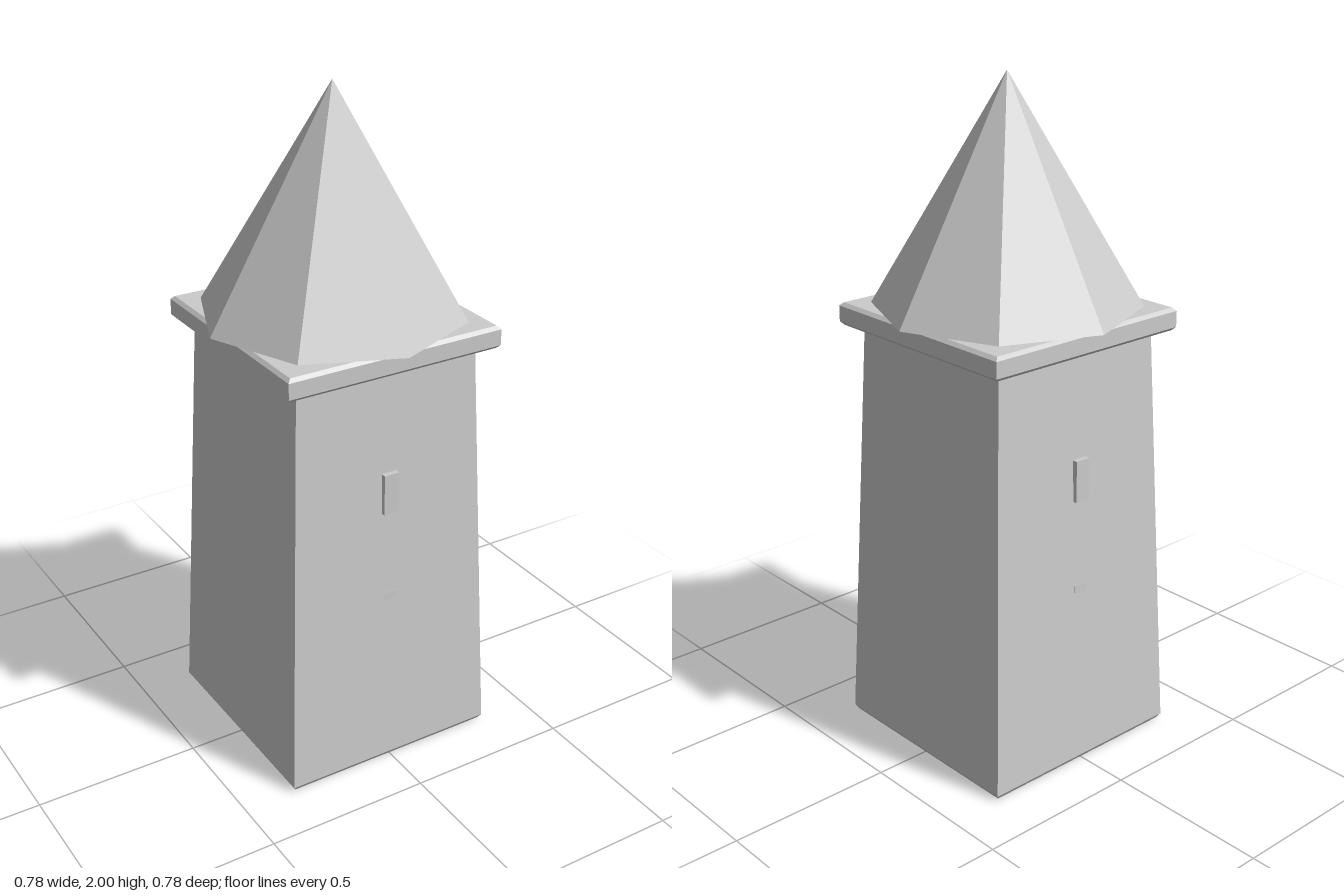
import * as THREE from 'three';

const material = new THREE.MeshStandardMaterial({ color: 0xcccccc, flatShading: true });

function addPart(group, name, geometry, y = 0, z = 0) {
  const flat = geometry.index ? geometry.toNonIndexed() : geometry;
  flat.computeVertexNormals();
  const mesh = new THREE.Mesh(flat, material);
  mesh.name = name;
  mesh.position.set(0, y, z);
  group.add(mesh);
}

// Closed square block from [half width, height] pairs, listed bottom to top
function squareBlock(profile) {
  const points = profile.map(([half, y]) => new THREE.Vector2(half * Math.SQRT2, y));
  points.unshift(new THREE.Vector2(0, profile[0][1]));
  points.push(new THREE.Vector2(0, profile[profile.length - 1][1]));
  return new THREE.LatheGeometry(points, 4, Math.PI / 4);
}

export function createModel() {
  const tower = new THREE.Group();
  tower.name = 'tower';

  // Tapered shaft with chamfered bottom and top edges
  addPart(tower, 'shaft', squareBlock([[0.33, 0], [0.34, 0.015], [0.291, 1.255], [0.282, 1.27]]));

  // Overhanging square slab under the roof
  addPart(tower, 'cornice', squareBlock([[0.331, 1.27], [0.341, 1.28], [0.341, 1.328], [0.331, 1.338]]));

  // Eight-sided spire, closed underneath
  addPart(tower, 'roof', new THREE.ConeGeometry(0.39, 0.66, 8), 1.67);

  // Slit windows on front and back; the lower ones barely break the sloping wall
  for (const [side, sign] of [['front', 1], ['back', -1]]) {
    for (const [level, y] of [['Upper', 0.895], ['Lower', 0.51]]) {
      addPart(tower, side + level + 'Slit', new THREE.BoxGeometry(0.048, 0.125, 0.02), y, sign * 0.309);
    }
  }

  return tower;
}
